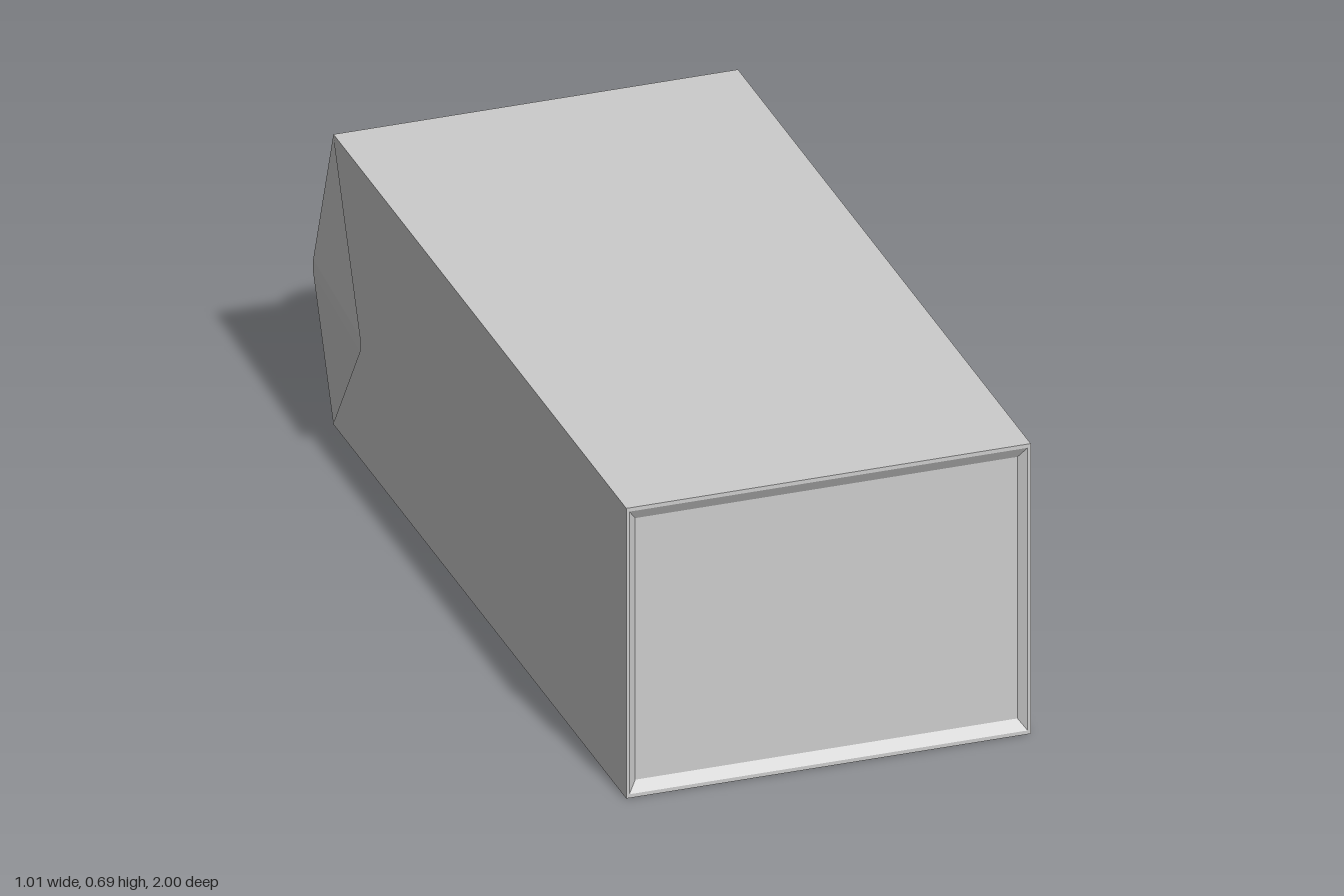
import * as THREE from 'three';

const W = 0.455, H = 0.69, FRONT = 1, BACK = -0.86;
const SEAM_LOW = 0.33, SEAM_HIGH = 0.362;
const RIDGE_X = 0.475, RIDGE_Z = -0.932;

const paper = new THREE.MeshStandardMaterial({ color: 0xcccccc, flatShading: true, side: THREE.DoubleSide });
const plastic = new THREE.MeshStandardMaterial({ color: 0xcccccc, flatShading: true });

// Flat-shaded sheet made of convex panels
function sheet(name, panels) {
  const pos = [];
  for (const p of panels)
    for (let i = 1; i < p.length - 1; i++) pos.push(...p[0], ...p[i], ...p[i + 1]);
  const geo = new THREE.BufferGeometry();
  geo.setAttribute('position', new THREE.Float32BufferAttribute(pos, 3));
  geo.computeVertexNormals();
  const mesh = new THREE.Mesh(geo, paper);
  mesh.name = name;
  return mesh;
}

const mirrored = (panels) => panels.map((p) => p.map(([x, y, z]) => [-x, y, z]).reverse());

// Rectangular section, inset from the carton outline
const section = (dx, dy, z) => [
  [-W + dx, dy, z], [W - dx, dy, z], [W - dx, H - dy, z], [-W + dx, H - dy, z],
];

// Long box with a shallow recessed base panel facing the front
function makeBody() {
  const rings = [
    section(0, 0, BACK),
    section(0, 0, FRONT),
    section(0.007, 0.009, FRONT),
    section(0.025, 0.034, FRONT - 0.014),
  ];
  const panels = [];
  for (let r = 0; r < rings.length - 1; r++)
    for (let i = 0; i < 4; i++) {
      const j = (i + 1) % 4;
      panels.push([rings[r][i], rings[r][j], rings[r + 1][j], rings[r + 1][i]]);
    }
  panels.push(rings[rings.length - 1]);
  return sheet('cartonBody', panels);
}

// Two sloping panels joined by a narrow sealed seam
function makeGable() {
  const lines = [[W, H, BACK], [RIDGE_X, SEAM_HIGH, RIDGE_Z], [RIDGE_X, SEAM_LOW, RIDGE_Z], [W, 0, BACK]];
  const group = new THREE.Group();
  group.name = 'gable';
  ['upperSlope', 'sealedSeam', 'lowerSlope'].forEach((name, i) => {
    const [x0, y0, z0] = lines[i], [x1, y1, z1] = lines[i + 1];
    group.add(sheet(name, [[[-x0, y0, z0], [x0, y0, z0], [x1, y1, z1], [-x1, y1, z1]]]));
  });
  return group;
}

// Triangular ear folded back along the carton side
function flapPanels() {
  const top = [W, H, BACK], bottom = [W, 0, BACK], crease = [W, H / 2, BACK];
  const ridgeHigh = [RIDGE_X, SEAM_HIGH, RIDGE_Z], ridgeLow = [RIDGE_X, SEAM_LOW, RIDGE_Z];
  const tipHigh = [0.504, SEAM_HIGH, -0.55], tipLow = [0.504, SEAM_LOW, -0.55];
  return [
    [top, tipHigh, ridgeHigh],
    [ridgeHigh, tipHigh, tipLow, ridgeLow],
    [ridgeLow, tipLow, bottom],
    [top, crease, tipHigh],
    [crease, tipLow, tipHigh],
    [crease, bottom, tipLow],
  ];
}

// Screw cap standing square on the upper slope
function makeCap() {
  const profile = [[0, -0.01], [0.108, -0.01], [0.108, 0.068], [0.105, 0.078], [0.096, 0.084], [0, 0.084]];
  const geo = new THREE.LatheGeometry(profile.map(([x, y]) => new THREE.Vector2(x, y)), 18);
  const cap = new THREE.Mesh(geo, plastic);
  cap.name = 'screwCap';
  const normal = new THREE.Vector3(0, BACK - RIDGE_Z, SEAM_HIGH - H).normalize();
  cap.quaternion.setFromUnitVectors(new THREE.Vector3(0, 1, 0), normal);
  cap.position.set(-0.225, 0.505, -0.9);
  return cap;
}

export function createModel() {
  const model = new THREE.Group();
  model.name = 'drinkCarton';
  const flap = flapPanels();
  model.add(
    makeBody(),
    makeGable(),
    sheet('leftFlap', flap),
    sheet('rightFlap', mirrored(flap)),
    makeCap(),
  );
  return model;
}
